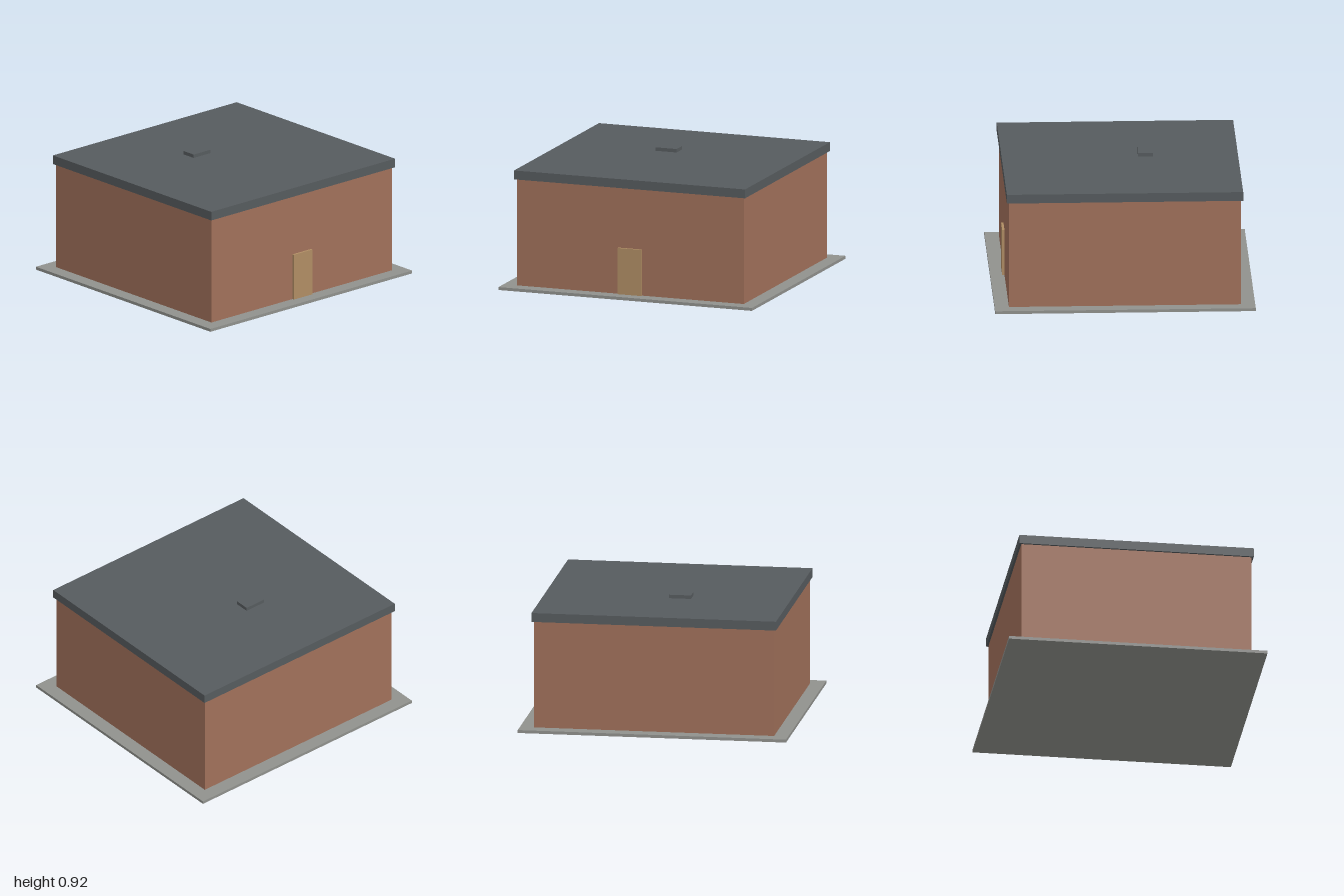
import * as THREE from 'three';

// Box given by its minimum and maximum corner
function block(name, color, [x0, y0, z0], [x1, y1, z1]) {
  const geometry = new THREE.BoxGeometry(x1 - x0, y1 - y0, z1 - z0);
  const mesh = new THREE.Mesh(geometry, new THREE.MeshStandardMaterial({ color }));
  mesh.position.set((x0 + x1) / 2, (y0 + y1) / 2, (z0 + z1) / 2);
  mesh.name = name;
  return mesh;
}

export function createModel() {
  const group = new THREE.Group();
  group.name = 'building';

  const slabTop = 0.022, wallTop = 0.823, roofTop = 0.89;
  const brick = 0xa0705a, slate = 0x565b5e, concrete = 0x90918d, wood = 0xb08d64;

  group.add(
    // Paved base and brick body
    block('groundSlab', concrete, [-1, 0, -0.96], [1, slabTop, 0.96]),
    block('walls', brick, [-0.895, slabTop, -0.855], [0.895, wallTop, 0.855]),
    // Flat overhanging roof with a small vent
    block('roof', slate, [-0.911, wallTop, -0.871], [0.911, roofTop, 0.871]),
    block('roofVent', slate, [-0.18, roofTop, -0.243], [-0.015, 0.916, -0.134]),
    // Door standing slightly proud of the front wall
    block('door', wood, [-0.093, slabTop, 0.855], [0.093, 0.37, 0.872]),
  );

  return group;
}
